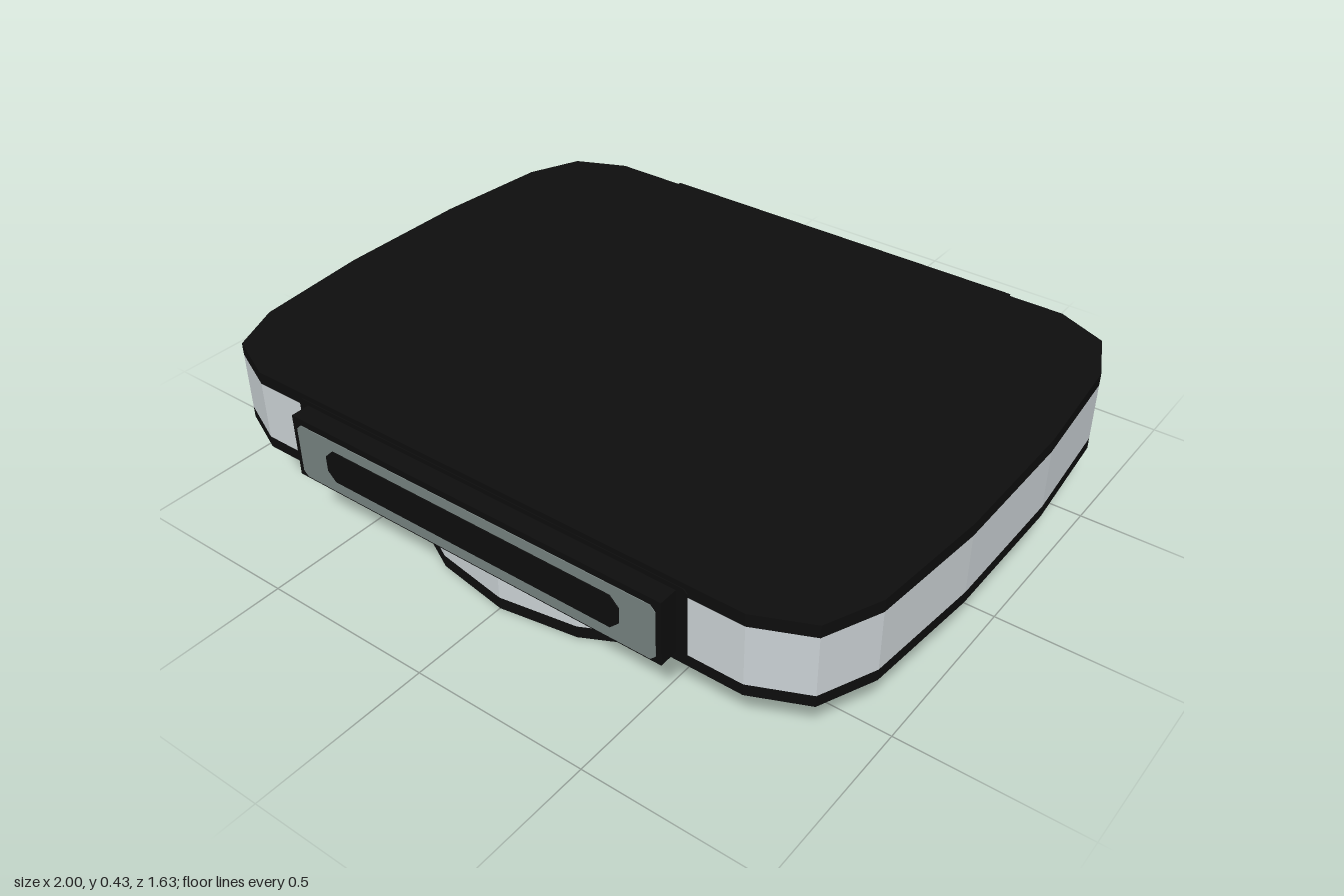
import * as THREE from 'three';

const mat = (name, color) => {
  const m = new THREE.MeshStandardMaterial({ color });
  m.name = name;
  return m;
};

export function createModel() {
  const black = mat('black trim', 0x0d0d0d);
  const silver = mat('silver casing', 0xc9d0d3);
  const underGrey = mat('underside grey', 0xbebfc1);
  const ventGrey = mat('vent grey', 0x75807e);
  const model = new THREE.Group();
  model.name = 'ceilingVentUnit';

  const add = (name, geometry, material, parent = model) => {
    const mesh = new THREE.Mesh(geometry, material);
    mesh.name = name;
    parent.add(mesh);
    return mesh;
  };

  // Faceted ring surface from an [radius, height] profile
  const lathe = (name, profile, material) => {
    const g = new THREE.LatheGeometry(profile.map(p => new THREE.Vector2(...p)), 20).toNonIndexed();
    g.computeVertexNormals();
    return add(name, g, material);
  };

  // Casing outline: one quarter mirrored around both axes
  const quarter = [[1, 0.2], [0.97, 0.54], [0.905, 0.69], [0.76, 0.755]];
  const flipped = [...quarter].reverse();
  const outline = [
    ...quarter,
    ...flipped.map(([x, z]) => [-x, z]),
    ...quarter.map(([x, z]) => [-x, -z]),
    ...flipped.map(([x, z]) => [x, -z]),
  ];
  const slab = (name, y0, y1, inset, material) => {
    const shape = new THREE.Shape(outline.map(([x, z]) =>
      new THREE.Vector2(x * (1 - inset), z * (1 - inset * 1.3))));
    const g = new THREE.ExtrudeGeometry(shape, { depth: y1 - y0, bevelEnabled: false });
    g.rotateX(-Math.PI / 2).translate(0, y0, 0);
    return add(name, g, material);
  };
  slab('casingBottomTrim', 0.19, 0.222, 0, black);
  slab('casingSide', 0.222, 0.39, 0, silver);
  slab('casingTop', 0.39, 0.425, 0, black);
  slab('undersidePanel', 0.186, 0.19, 0.03, underGrey);

  // Round housing below the casing
  lathe('housingShadowCollar', [[0.7, 0.183], [0.78, 0.183], [0.78, 0.187]], black);
  lathe('housingUpperTrim', [[0.715, 0.16], [0.715, 0.19]], black);
  lathe('housingSide', [[0.715, 0.035], [0.715, 0.16]], silver);
  lathe('housingLowerTrim', [[0.685, 0], [0.715, 0], [0.715, 0.035]], black);
  lathe('housingRim', [[0.635, 0], [0.685, 0]], underGrey);
  lathe('housingInnerTrim', [[0.61, 0.012], [0.61, 0], [0.635, 0]], black);
  lathe('housingInnerWall', [[0.61, 0.14], [0.61, 0.012]], silver);
  lathe('housingFloor', [[0, 0.14], [0.61, 0.14]], black);

  // Fan with tilted wedge blades
  const fan = new THREE.Group();
  fan.name = 'fan';
  model.add(fan);
  const bladeCount = 12;
  const bladeShape = new THREE.Shape([
    new THREE.Vector2(0.08, -0.015), new THREE.Vector2(0.585, -0.085),
    new THREE.Vector2(0.595, 0.09), new THREE.Vector2(0.08, 0.015),
  ]);
  for (let i = 0; i < bladeCount; i++) {
    const g = new THREE.ExtrudeGeometry(bladeShape, { depth: 0.006, bevelEnabled: false });
    g.rotateX(-Math.PI / 2 + 0.2);
    const blade = add('fanBlade', g, underGrey, fan);
    blade.position.y = 0.05;
    blade.rotation.y = (i / bladeCount) * Math.PI * 2;
  }
  const hub = add('fanHub', new THREE.CylinderGeometry(0.11, 0.11, 0.1, 16), black, fan);
  hub.position.y = 0.09;
  const cap = add('fanHubCap', new THREE.CylinderGeometry(0.05, 0.05, 0.01, 16), underGrey, fan);
  cap.position.y = 0.036;

  // Thin plate with cut corners, facing +z
  const plate = (name, w, y0, y1, cut, z, material, parent) => {
    const pts = [
      [-w + cut, y0], [w - cut, y0], [w, y0 + cut], [w, y1 - cut],
      [w - cut, y1], [-w + cut, y1], [-w, y1 - cut], [-w, y0 + cut],
    ].map(p => new THREE.Vector2(...p));
    const g = new THREE.ExtrudeGeometry(new THREE.Shape(pts), { depth: 0.003, bevelEnabled: false });
    add(name, g, material, parent).position.z = z;
  };

  // Outlet vents on the front and back
  for (const side of ['front', 'back']) {
    const vent = new THREE.Group();
    vent.name = side + 'Vent';
    if (side === 'back') vent.rotation.y = Math.PI;
    model.add(vent);
    plate('ventSurround', 0.61, 0.2, 0.41, 0.01, 0.754, black, vent);
    const box = add('ventBox', new THREE.BoxGeometry(1.16, 0.182, 0.09), black, vent);
    box.position.set(0, 0.306, 0.765);
    plate('ventPanel', 0.565, 0.22, 0.378, 0.014, 0.809, ventGrey, vent);
    plate('ventSlot', 0.465, 0.254, 0.348, 0.025, 0.812, black, vent);
  }
  return model;
}
